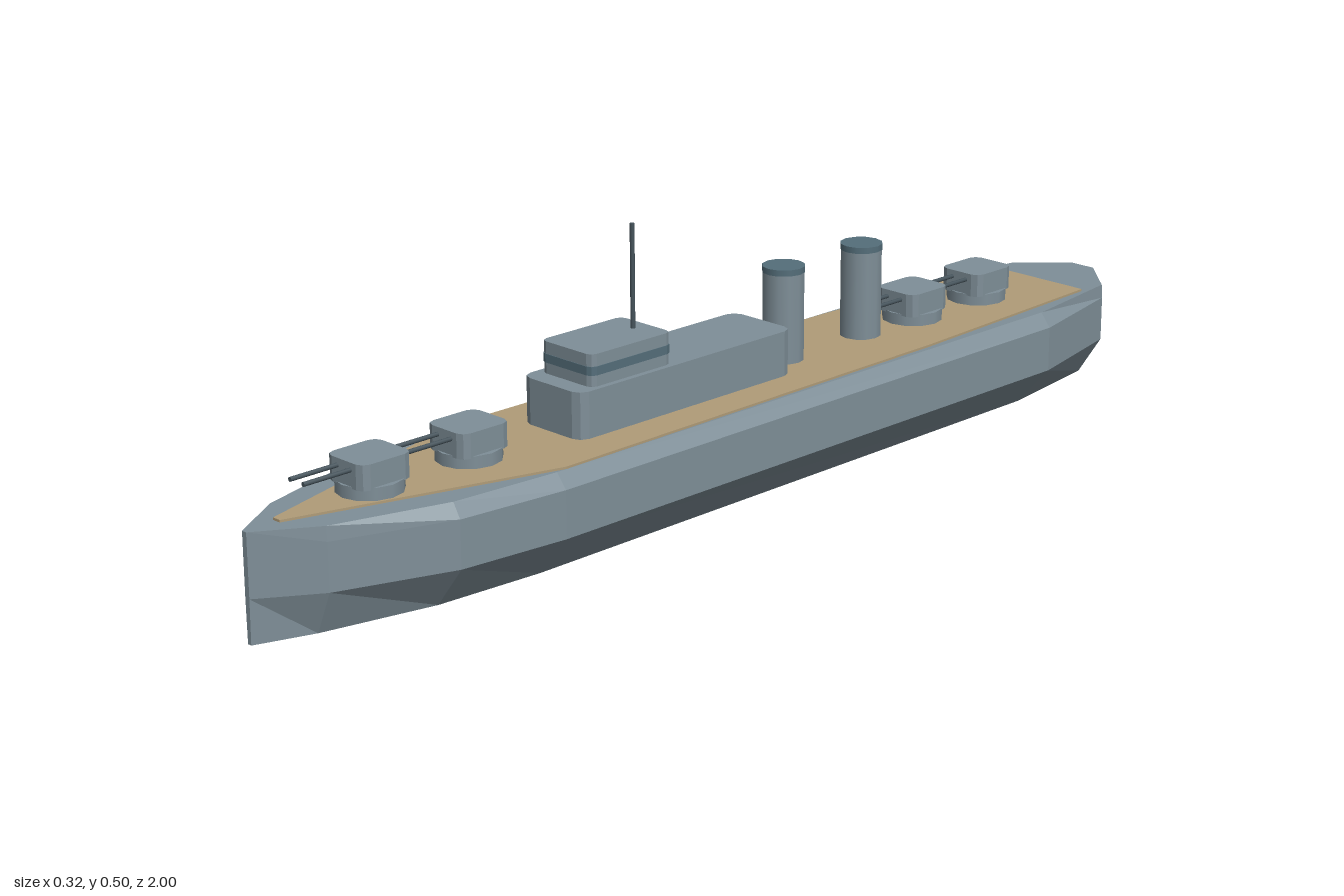
import * as THREE from 'three';

const mat = (name, color, extra = {}) =>
  Object.assign(new THREE.MeshStandardMaterial({ color, ...extra }), { name });

export function createModel() {
  const ship = new THREE.Group();
  ship.name = 'warship';
  const grey = mat('hullGrey', 0x7f8f98);
  const tan = mat('deckTan', 0xb09c78);
  const slate = mat('slateTrim', 0x546e7a);
  const dark = mat('gunmetal', 0x46545c);

  const add = (parent, name, geo, material, x = 0, y = 0, z = 0) => {
    const m = new THREE.Mesh(geo, material);
    m.name = name;
    m.position.set(x, y, z);
    parent.add(m);
    return m;
  };
  const flat = (geo) => {
    const g = geo.index ? geo.toNonIndexed() : geo;
    g.computeVertexNormals();
    return g;
  };
  // Upright prism from a plan outline given as [x, z] points
  const prism = (points, h) => {
    const shape = new THREE.Shape(points.map(([x, z]) => new THREE.Vector2(x, -z)));
    return new THREE.ExtrudeGeometry(shape, { depth: h, bevelEnabled: false }).rotateX(-Math.PI / 2);
  };
  // Upright block with rounded vertical corners
  const block = (w, h, d, r) => {
    const pts = [];
    for (let c = 0; c < 4; c++) {
      const sx = c === 0 || c === 3 ? 1 : -1, sz = c < 2 ? 1 : -1;
      for (let i = 0; i <= 2; i++) {
        const a = (c + i / 2) * Math.PI / 2;
        pts.push([sx * (w / 2 - r) + r * Math.cos(a), sz * (d / 2 - r) + r * Math.sin(a)]);
      }
    }
    return prism(pts, h);
  };

  // Hull: stations of [z, bottom, side, top half-widths]
  const stations = [
    [-1, 0.018, 0.025, 0.025], [-0.92, 0.06, 0.11, 0.108], [-0.7, 0.092, 0.16, 0.14],
    [0.5, 0.096, 0.16, 0.14], [0.7, 0.082, 0.14, 0.125], [0.9, 0.038, 0.07, 0.068],
    [1, 0.004, 0.005, 0.005],
  ];
  const rings = stations.map(([z, b, s, t]) => {
    const half = [[b, 0], [s, 0.075], [s, 0.157], [t, 0.182]];
    return [...half, ...half.map(([x, y]) => [-x, y]).reverse()]
      .map(([x, y]) => new THREE.Vector3(x, y, z));
  });
  const tris = [];
  for (let i = 0; i < rings.length - 1; i++) {
    for (let k = 0; k < 8; k++) {
      const n = (k + 1) % 8, p = rings[i], q = rings[i + 1];
      tris.push(p[k], p[n], q[n], p[k], q[n], q[k]);
    }
  }
  const stern = rings[0], bow = rings[rings.length - 1];
  for (let k = 1; k < 7; k++) {
    tris.push(stern[0], stern[k + 1], stern[k], bow[0], bow[k], bow[k + 1]);
  }
  add(ship, 'hull', flat(new THREE.BufferGeometry().setFromPoints(tris)), grey);

  // Planked deck
  const side = [[0.107, -0.86], [0.13, -0.4], [0.14, 0.48], [0.008, 0.94]];
  add(ship, 'deck', prism([...side, ...side.map(([x, z]) => [-x, z]).reverse()], 0.005),
    tan, 0, 0.181, 0);

  // Superstructure, bridge and mast
  add(ship, 'superstructure', block(0.14, 0.081, 0.495, 0.02), grey, 0, 0.185, 0.1375);
  add(ship, 'bridge', block(0.12, 0.055, 0.18, 0.012), grey, 0, 0.266, 0.26);
  add(ship, 'bridgeWindows', block(0.122, 0.015, 0.182, 0.012), slate, 0, 0.285, 0.26);
  add(ship, 'mast', new THREE.CylinderGeometry(0.004, 0.004, 0.18, 8), dark, 0, 0.41, 0.2);

  // Funnels with dark caps
  for (const z of [-0.16, -0.36]) {
    const funnel = new THREE.Group();
    funnel.name = 'funnel';
    funnel.position.z = z;
    add(funnel, 'funnelStack', new THREE.CylinderGeometry(0.037, 0.037, 0.16, 12), grey, 0, 0.265, 0);
    add(funnel, 'funnelCap', new THREE.CylinderGeometry(0.038, 0.038, 0.011, 12), slate, 0, 0.35, 0);
    ship.add(funnel);
  }

  // Twin-gun turrets, all trained forward
  for (const z of [0.76, 0.56, -0.5, -0.68]) {
    const turret = new THREE.Group();
    turret.name = 'turret';
    turret.position.set(0, 0.185, z);
    add(turret, 'turretBase', new THREE.CylinderGeometry(0.055, 0.055, 0.022, 12), grey, 0, 0.011, 0);
    add(turret, 'turretHouse', block(0.09, 0.042, 0.1, 0.016), grey, 0, 0.019, 0);
    for (const x of [-0.016, 0.016]) {
      const barrel = new THREE.CylinderGeometry(0.004, 0.004, 0.12, 8).rotateX(Math.PI / 2);
      add(turret, 'gunBarrel', barrel, dark, x, 0.049, 0.08);
    }
    ship.add(turret);
  }
  return ship;
}
